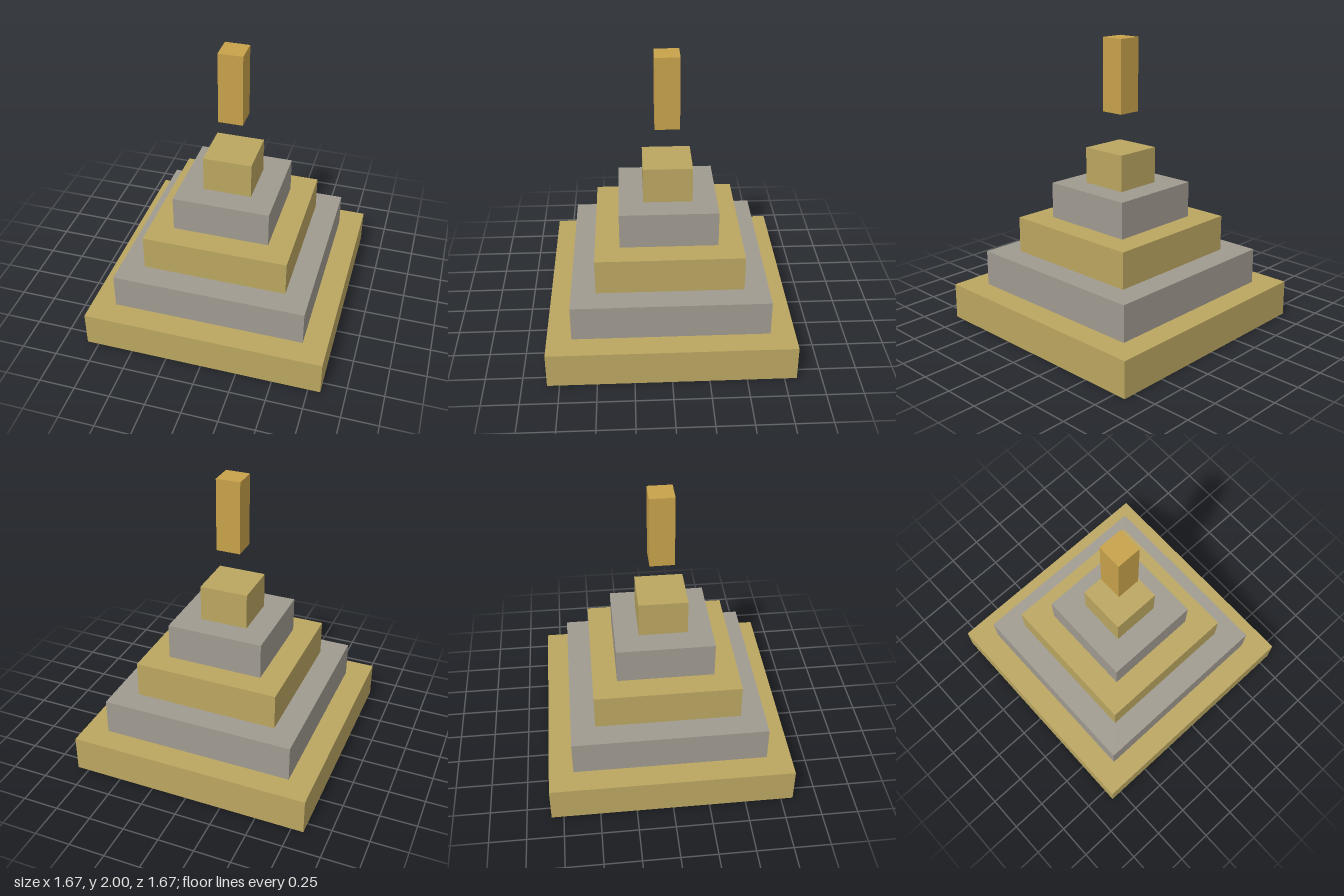
import * as THREE from 'three';

const sandstone = new THREE.MeshStandardMaterial({ name: 'sandstone', color: 0xbba660 });
const greyStone = new THREE.MeshStandardMaterial({ name: 'greyStone', color: 0xa09b90 });
const gold = new THREE.MeshStandardMaterial({ name: 'gold', color: 0xc8a24a });

// Square block standing on height y
function block(name, width, height, y, material) {
  const mesh = new THREE.Mesh(new THREE.BoxGeometry(width, height, width), material);
  mesh.name = name;
  mesh.position.y = y + height / 2;
  return mesh;
}

export function createModel() {
  const model = new THREE.Group();
  model.name = 'steppedPyramid';

  // Five tiers, each narrower by the same step, in alternating stone
  const tiers = 5, tierHeight = 0.25, step = 1 / 3;
  for (let i = 0; i < tiers; i++) {
    const material = i % 2 ? greyStone : sandstone;
    model.add(block(`tier${i + 1}`, (tiers - i) * step, tierHeight, i * tierHeight, material));
  }

  // Golden pillar floating above the top tier
  model.add(block('floatingPillar', step / 2, 0.5, 1.5, gold));
  return model;
}
